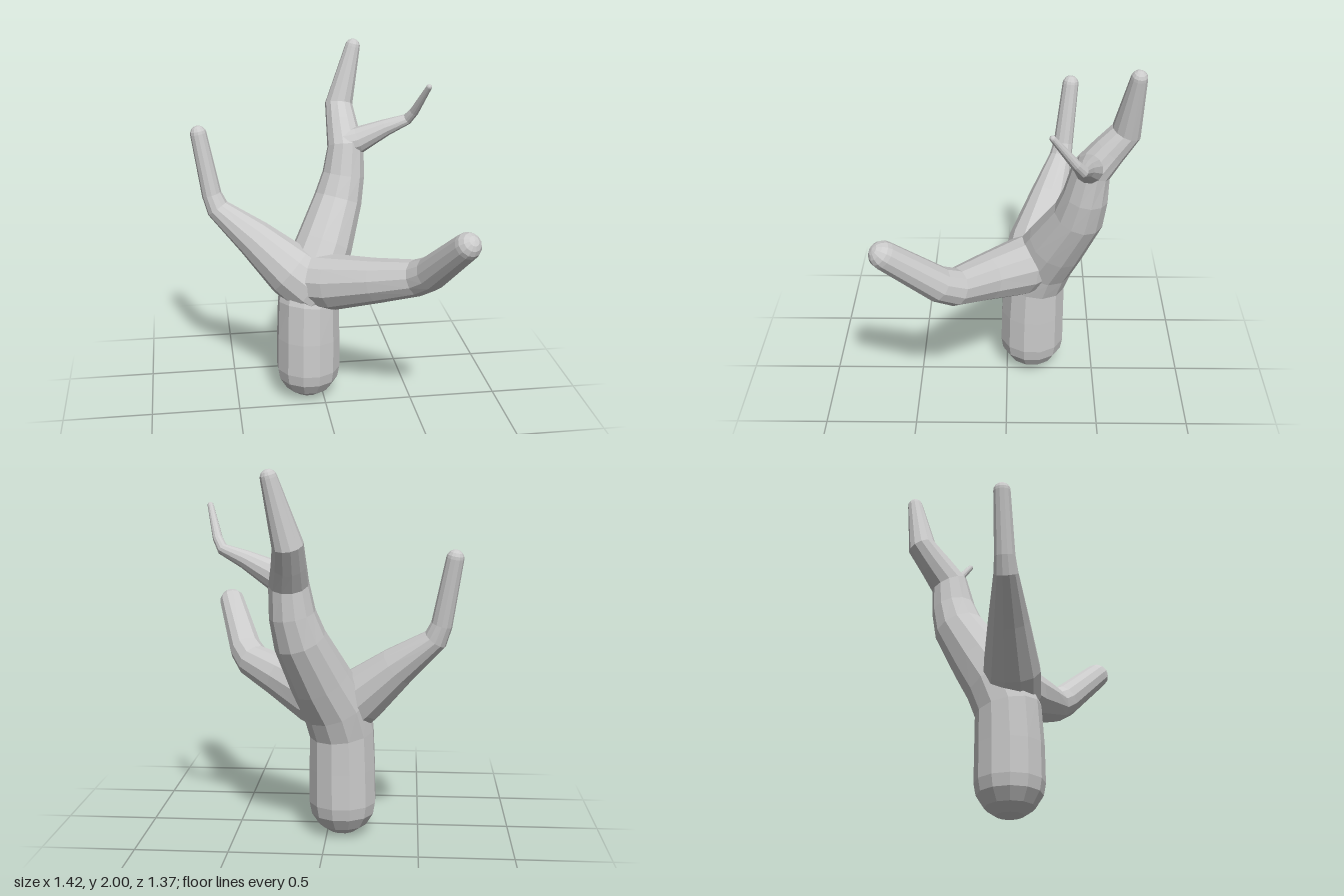
import * as THREE from 'three';

const SIDES = 12;
const CAP = [0.35, 0.7, 0.92];

// Faceted limb through stations [x, y, z, radius], with rounded ends
function limb(name, stations, material) {
  const pts = stations.map(s => new THREE.Vector3(s[0], s[1], s[2]));
  const n = pts.length;
  const dir = i => pts[i + 1].clone().sub(pts[i]).normalize();
  const tangents = pts.map((_, i) =>
    i === 0 ? dir(0) : i === n - 1 ? dir(n - 2) : dir(i - 1).add(dir(i)).normalize());

  // Rings of the limb body, plus the shrinking rings of each cap
  const rings = pts.map((p, i) => ({ p, t: tangents[i], r: stations[i][3] }));
  const cap = (ring, sign) => CAP.map(h => ({
    p: ring.p.clone().addScaledVector(ring.t, sign * h * ring.r),
    t: ring.t, r: ring.r * Math.sqrt(1 - h * h),
  }));
  const first = rings[0], last = rings[n - 1];
  const all = [...cap(first, -1).reverse(), ...rings, ...cap(last, 1)];

  const pos = [], idx = [];
  const side = Math.abs(first.t.y) > 0.9 ? new THREE.Vector3(1, 0, 0) : new THREE.Vector3(0, 1, 0);
  for (const { p, t, r } of all) {
    side.addScaledVector(t, -side.dot(t)).normalize();
    const up = new THREE.Vector3().crossVectors(t, side);
    for (let k = 0; k < SIDES; k++) {
      const a = (k + 0.5) / SIDES * Math.PI * 2;
      const v = p.clone().addScaledVector(side, r * Math.cos(a)).addScaledVector(up, r * Math.sin(a));
      pos.push(v.x, v.y, v.z);
    }
  }
  for (let j = 0; j < all.length - 1; j++) {
    for (let k = 0; k < SIDES; k++) {
      const a = j * SIDES + k, b = j * SIDES + (k + 1) % SIDES;
      idx.push(a, b, b + SIDES, a, b + SIDES, a + SIDES);
    }
  }
  // Poles
  const s = first.p.clone().addScaledVector(first.t, -first.r);
  const e = last.p.clone().addScaledVector(last.t, last.r);
  const si = all.length * SIDES, top = si - SIDES;
  pos.push(s.x, s.y, s.z, e.x, e.y, e.z);
  for (let k = 0; k < SIDES; k++) {
    const m = (k + 1) % SIDES;
    idx.push(si, m, k, si + 1, top + k, top + m);
  }

  const geo = new THREE.BufferGeometry();
  geo.setAttribute('position', new THREE.Float32BufferAttribute(pos, 3));
  geo.setIndex(idx);
  geo.computeVertexNormals();
  const mesh = new THREE.Mesh(geo, material);
  mesh.name = name;
  return mesh;
}

export function createModel() {
  const group = new THREE.Group();
  group.name = 'branchingTree';
  const bark = new THREE.MeshStandardMaterial({ color: 0xcccccc, flatShading: true });

  // Trunk running up into the tall rear branch
  group.add(limb('trunk', [
    [-0.085, 0.185, -0.145, 0.185],
    [-0.083, 0.38, -0.147, 0.183],
    [-0.08, 0.58, -0.155, 0.178],
    [-0.045, 0.73, -0.2, 0.178],
    [0.03, 0.89, -0.275, 0.165],
    [0.125, 1.12, -0.385, 0.14],
    [0.16, 1.26, -0.415, 0.122],
    [0.175, 1.42, -0.44, 0.105],
    [0.165, 1.53, -0.53, 0.09],
    [0.16, 1.63, -0.61, 0.08],
    [0.245, 1.955, -0.648, 0.043],
  ], bark));

  // Front branch on the model's left
  group.add(limb('frontBranch', [
    [-0.05, 0.72, -0.14, 0.16],
    [0.06, 0.74, -0.05, 0.158],
    [0.27, 0.81, 0.125, 0.125],
    [0.46, 0.875, 0.27, 0.1],
    [0.515, 0.93, 0.35, 0.094],
    [0.633, 1.175, 0.606, 0.074],
  ], bark));

  // Branch on the model's right
  group.add(limb('sideBranch', [
    [-0.07, 0.69, -0.14, 0.165],
    [-0.18, 0.78, -0.165, 0.155],
    [-0.38, 0.96, -0.24, 0.11],
    [-0.575, 1.12, -0.31, 0.066],
    [-0.605, 1.2, -0.325, 0.056],
    [-0.665, 1.545, -0.36, 0.046],
  ], bark));

  // Thin twig from the rear branch
  group.add(limb('twig', [
    [0.18, 1.44, -0.43, 0.08],
    [0.25, 1.46, -0.42, 0.076],
    [0.4, 1.535, -0.39, 0.048],
    [0.52, 1.585, -0.37, 0.031],
    [0.55, 1.635, -0.335, 0.026],
    [0.605, 1.8, -0.22, 0.016],
  ], bark));

  return group;
}
